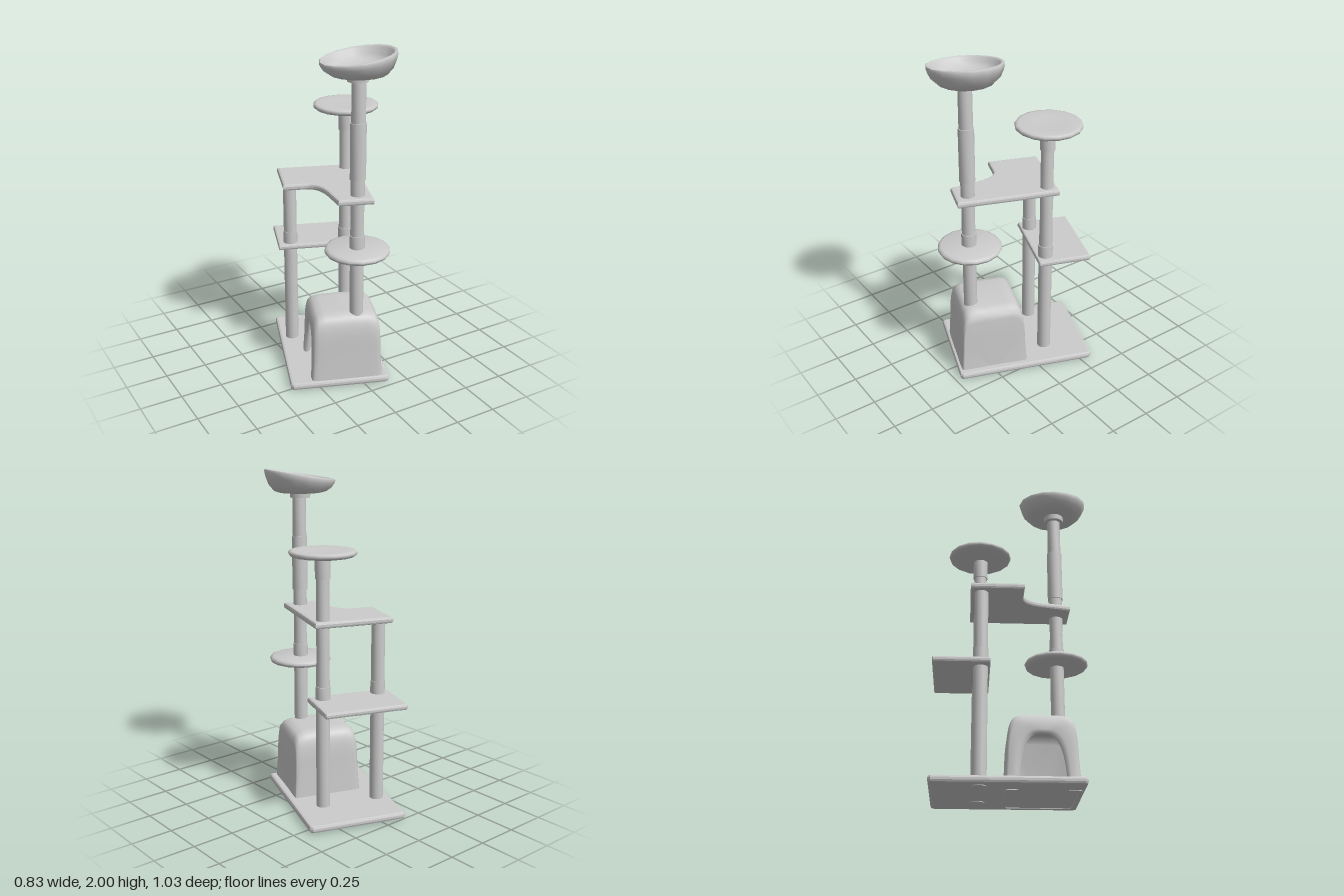
import * as THREE from 'three';
import { toCreasedNormals } from 'three/addons/utils/BufferGeometryUtils.js';

const material = new THREE.MeshStandardMaterial({ color: 0xcccccc });

function add(parent, name, geometry, x = 0, y = 0, z = 0) {
  const mesh = new THREE.Mesh(geometry, material);
  mesh.name = name;
  mesh.position.set(x, y, z);
  parent.add(mesh);
}

// Turned part from [radius, height] pairs
function turned(profile, crease) {
  const points = profile.map(([r, y]) => new THREE.Vector2(r, y));
  return toCreasedNormals(new THREE.LatheGeometry(points, 16), crease);
}

// Horizontal board with softened edges; the shape is drawn in x and z
function board(shape, thickness, bevel) {
  const g = new THREE.ExtrudeGeometry(shape, {
    depth: thickness - 2 * bevel, bevelEnabled: true, bevelThickness: bevel,
    bevelSize: bevel, bevelOffset: -bevel, bevelSegments: 2, curveSegments: 10,
  });
  g.rotateX(Math.PI / 2);
  g.translate(0, thickness - bevel, 0);
  return toCreasedNormals(g, 0.3);
}

// Rectangle with small clipped corners
function rectangle(x0, x1, z0, z1, c) {
  return new THREE.Shape([
    [x0 + c, z0], [x1 - c, z0], [x1, z0 + c], [x1, z1 - c],
    [x1 - c, z1], [x0 + c, z1], [x0, z1 - c], [x0, z0 + c],
  ].map(([x, z]) => new THREE.Vector2(x, z)));
}

// Hollow house: arches lofted over the outside, in through the doorway and along the inside
function houseGeometry() {
  // [x, half width, height, squareness]
  const sections = [
    [0.24, 0, 0, 7], [0.243, 0.1, 0.24, 7], [0.243, 0.188, 0.375, 7], [0.237, 0.196, 0.408, 7],
    [0.215, 0.199, 0.433, 7], [0.17, 0.2, 0.445, 7], [0.04, 0.2, 0.45, 7],
    [-0.09, 0.2, 0.446, 7], [-0.13, 0.199, 0.437, 7], [-0.152, 0.196, 0.418, 7],
    [-0.163, 0.186, 0.39, 6], [-0.166, 0.145, 0.345, 3.4], [-0.157, 0.128, 0.325, 2.7],
    [-0.14, 0.128, 0.325, 2.7], [-0.13, 0.143, 0.35, 4], [-0.12, 0.172, 0.4, 7],
    [-0.09, 0.18, 0.42, 7], [0.19, 0.18, 0.42, 7], [0.218, 0.172, 0.375, 7], [0.22, 0, 0, 7],
  ];
  const steps = 48, positions = [], index = [];
  sections.forEach(([x, w, h, n], j) => {
    for (let i = 0; i <= steps; i++) {
      const t = (i / steps) * Math.PI, c = Math.cos(t), s = Math.max(Math.sin(t), 0);
      const y = h * Math.pow(s, 2 / n);
      // Narrows upward and flares at the foot
      const spread = 1.015 - 0.11 * y + 0.035 * Math.exp(-Math.max(y - 0.045, 0) * 25);
      positions.push(0.04 + (x - 0.04) * spread, y, spread * w * Math.sign(c) * Math.pow(Math.abs(c), 2 / n));
      if (i < steps && j < sections.length - 1) {
        const a = j * (steps + 1) + i, b = a + steps + 1;
        index.push(a, a + 1, b, a + 1, b + 1, b);
      }
    }
  });
  const g = new THREE.BufferGeometry();
  g.setAttribute('position', new THREE.Float32BufferAttribute(positions, 3));
  g.setIndex(index);
  g.computeVertexNormals();
  return g;
}

// Bowl whose rim is tilted upward toward +x
function bowlGeometry() {
  const g = turned([
    [0, 0], [0.128, 0], [0.158, 0.008], [0.188, 0.036], [0.205, 0.072], [0.212, 0.096],
    [0.208, 0.105], [0.197, 0.107], [0.187, 0.099], [0.177, 0.07], [0.15, 0.046], [0.1, 0.034], [0, 0.028],
  ], 0.9);
  const p = g.attributes.position;
  for (let i = 0; i < p.count; i++) {
    p.setY(i, p.getY(i) * (1 + 1.45 * p.getX(i)));
  }
  return g;
}

export function createModel() {
  const model = new THREE.Group();
  model.name = 'catTree';
  const tree = new THREE.Group();
  tree.name = 'tree';
  tree.rotation.y = -THREE.MathUtils.degToRad(20);
  model.add(tree);

  // Boards
  add(tree, 'base', board(rectangle(-0.3, 0.291, -0.438, 0.402, 0.016), 0.041, 0.014), 0, 0.004, 0);
  add(tree, 'lowerPlatform', board(rectangle(-0.299, 0.2, -0.438, -0.115, 0.006), 0.035, 0.012), 0, 0.679, 0);

  const notched = new THREE.Shape();
  notched.moveTo(-0.287, -0.233);
  notched.lineTo(0.187, -0.233);
  notched.lineTo(0.187, 0.367);
  notched.lineTo(-0.015, 0.367);
  notched.lineTo(-0.052, 0.2);
  notched.quadraticCurveTo(-0.085, 0.077, -0.155, 0.077);
  notched.lineTo(-0.287, 0.077);
  notched.closePath();
  add(tree, 'upperPlatform', board(notched, 0.037, 0.012), 0, 1.143, 0);

  // House with an arched doorway, its walls set into the base
  add(tree, 'house', houseGeometry(), 0, 0, 0.177);

  // Posts with stepped sleeves: x, z, profile
  const posts = {
    tallPost: [0.106, 0.291, [
      [0.041, 0.4], [0.041, 0.86], [0.045, 0.86], [0.045, 0.935], [0.041, 0.935], [0.038, 1.05],
      [0.041, 1.145], [0.041, 1.275], [0.046, 1.275], [0.046, 1.6], [0.041, 1.6], [0.04, 1.84],
    ]],
    middlePost: [0.123, -0.173, [
      [0.041, 0], [0.041, 0.71], [0.044, 0.71], [0.044, 0.79], [0.04, 0.79], [0.037, 1.0],
      [0.04, 1.15], [0.037, 1.2], [0.038, 1.42], [0.044, 1.42], [0.044, 1.54],
    ]],
    shortPost: [-0.221, -0.17, [
      [0.041, 0], [0.041, 0.71], [0.043, 0.71], [0.043, 0.79], [0.04, 0.79], [0.04, 1.15],
    ]],
  };
  for (const [name, [x, z, profile]] of Object.entries(posts)) {
    add(tree, name, turned(profile, 0.7), x, 0, z);
  }

  // Round perches
  const perch = [
    [0, 0], [0.075, 0], [0.14, 0.01], [0.178, 0.017], [0.19, 0.025],
    [0.194, 0.037], [0.188, 0.047], [0.172, 0.05], [0.1, 0.045], [0, 0.043],
  ];
  add(tree, 'highPerch', turned(perch, 1), 0.123, 1.534, -0.177);
  const disc = [
    [0, 0], [0.165, 0], [0.183, 0.006], [0.19, 0.019], [0.185, 0.033], [0.17, 0.039], [0, 0.037],
  ];
  add(tree, 'lowPerch', turned(disc, 0.9), 0.108, 0.819, 0.287);

  // Tilted bowl on its collar
  add(tree, 'bowlCollar', new THREE.CylinderGeometry(0.062, 0.06, 0.036, 16), 0.1, 1.848, 0.291);
  add(tree, 'bowl', bowlGeometry(), 0.103, 1.862, 0.284);

  return model;
}
